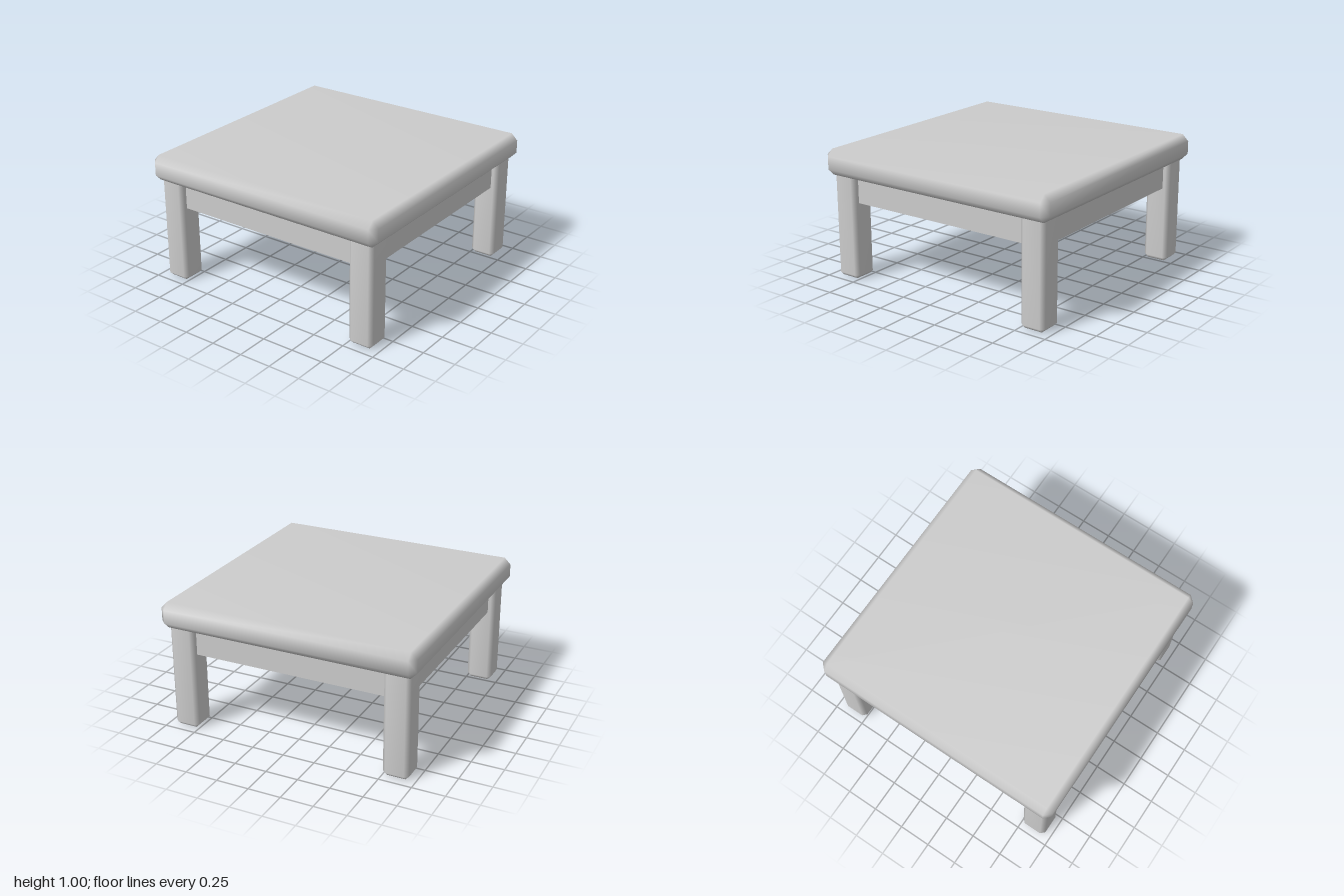
import * as THREE from 'three';

// Box with a single chamfer on every edge, smoothly shaded
function chamferBox(w, h, d, bevel) {
  const half = [w / 2, h / 2, d / 2];
  const points = [];
  const index = [];
  const corner = (s) => (s[0] > 0 ? 1 : 0) + (s[1] > 0 ? 2 : 0) + (s[2] > 0 ? 4 : 0);
  const id = (s, axis) => corner(s) * 3 + axis;

  // Three points per corner, one lying on each of the faces that meet there
  for (let c = 0; c < 8; c++) {
    const s = [c & 1 ? 1 : -1, c & 2 ? 1 : -1, c & 4 ? 1 : -1];
    for (let axis = 0; axis < 3; axis++) {
      points.push(new THREE.Vector3(...s.map((v, i) => v * (half[i] - (i === axis ? 0 : bevel)))));
    }
  }

  // Adds a triangle or quad, turned to face outward
  const addFace = (ids, outward) => {
    const [a, b, c] = ids.map((i) => points[i]);
    const normal = b.clone().sub(a).cross(c.clone().sub(a));
    if (normal.dot(new THREE.Vector3(...outward)) < 0) ids.reverse();
    for (let i = 1; i < ids.length - 1; i++) index.push(ids[0], ids[i], ids[i + 1]);
  };
  const signs = (a, va, b, vb, c, vc) => {
    const s = [0, 0, 0];
    s[a] = va; s[b] = vb; s[c] = vc;
    return s;
  };

  for (let a = 0; a < 3; a++) {
    const b = (a + 1) % 3, c = (a + 2) % 3;
    for (const p of [-1, 1]) {
      // Flat side
      const ring = [[-1, -1], [1, -1], [1, 1], [-1, 1]];
      addFace(ring.map(([q, r]) => id(signs(a, p, b, q, c, r), a)), signs(a, p, b, 0, c, 0));
      // Chamfered edges running along axis c
      for (const q of [-1, 1]) {
        const lo = signs(a, p, b, q, c, -1), hi = signs(a, p, b, q, c, 1);
        addFace([id(lo, a), id(hi, a), id(hi, b), id(lo, b)], signs(a, p, b, q, c, 0));
      }
    }
  }
  // Corner triangles
  for (const x of [-1, 1]) for (const y of [-1, 1]) for (const z of [-1, 1]) {
    const s = [x, y, z];
    addFace([id(s, 0), id(s, 1), id(s, 2)], s);
  }

  const geometry = new THREE.BufferGeometry().setFromPoints(points);
  geometry.setIndex(index);
  geometry.computeVertexNormals();
  return geometry;
}

export function createModel() {
  const model = new THREE.Group();
  model.name = 'lowTable';
  const grey = new THREE.MeshStandardMaterial({ color: 0xcccccc });
  grey.name = 'plain grey';

  const add = (name, geometry, x, y, z) => {
    const mesh = new THREE.Mesh(geometry, grey);
    mesh.name = name;
    mesh.position.set(x, y, z);
    model.add(mesh);
  };

  // Thick square top
  add('tableTop', chamferBox(2, 0.2, 2, 0.05), 0, 0.9, 0);

  // Solid apron block under the top
  add('apron', new THREE.BoxGeometry(1.8, 0.25, 1.8), 0, 0.725, 0);

  // Four square legs, tucked into the top
  const legGeometry = chamferBox(0.2, 0.85, 0.2, 0.03);
  for (const [side, x] of [['Left', 0.85], ['Right', -0.85]]) {
    for (const [end, z] of [['front', 0.85], ['back', -0.85]]) {
      add(`${end}${side}Leg`, legGeometry, x, 0.425, z);
    }
  }
  return model;
}
